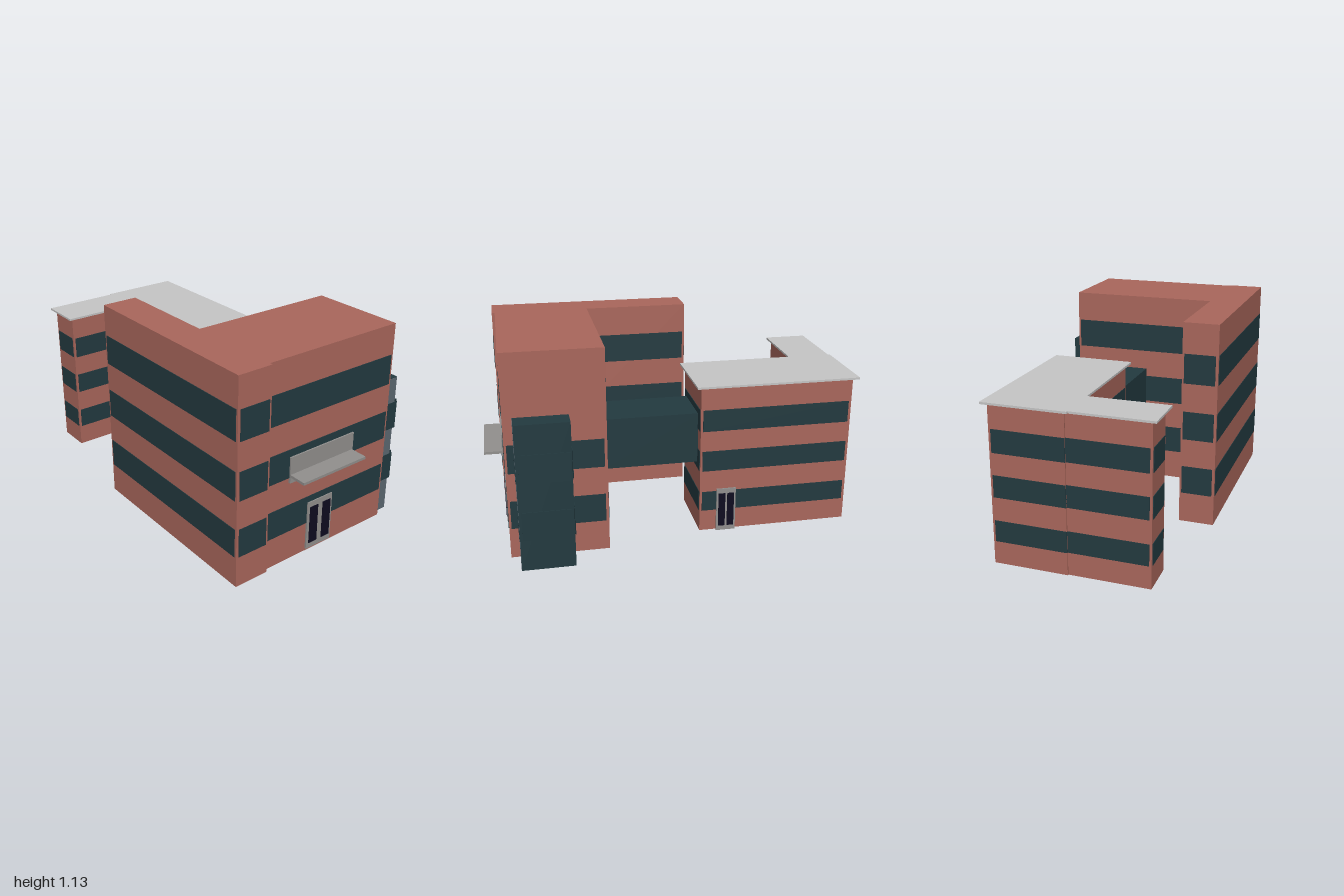
import * as THREE from 'three';

const mat = (name, color) => {
  const m = new THREE.MeshStandardMaterial({ color });
  m.name = name;
  return m;
};

export function createModel() {
  const model = new THREE.Group();
  model.name = 'officeBuilding';
  const brick = mat('brick', 0xaa675c);
  const glass = mat('darkGlass', 0x233a40);
  const paleGlass = mat('paleGlass', 0x5c6871);
  const roofing = mat('roofing', 0xc6c6c6);
  const metal = mat('greyMetal', 0x92908e);
  const doorDark = mat('doorGlass', 0x0e0c20);

  // Box given by its extents on each axis
  const box = (name, m, [x0, x1], [y0, y1], [z0, z1], parent = model) => {
    const mesh = new THREE.Mesh(new THREE.BoxGeometry(x1 - x0, y1 - y0, z1 - z0), m);
    mesh.position.set((x0 + x1) / 2, (y0 + y1) / 2, (z0 + z1) / 2);
    mesh.name = name;
    parent.add(mesh);
    return mesh;
  };
  const T = 0.003; // half thickness of plates
  const group = (name) => {
    const g = new THREE.Group();
    g.name = name;
    model.add(g);
    return g;
  };

  // Window strips on walls facing along x or along z
  const stripsX = (g, x, z, levels) => levels.forEach((y) => box('windowStrip', glass, [x - T, x + T], y, z, g));
  const stripsZ = (g, z, x, levels) => levels.forEach((y) => box('windowStrip', glass, x, y, [z - T, z + T], g));

  // Front building: main block and long side wing
  const front = group('frontBuilding');
  const frontY = [0.022, 1.135];
  box('mainBlock', brick, [-0.38, 0.43], frontY, [0.375, 0.895], front);
  box('sideWing', brick, [-0.572, -0.38], frontY, [-0.2, 0.912], front);
  const floors = [[0.19, 0.345], [0.5, 0.655], [0.81, 0.97]];
  stripsZ(front, 0.895, [-0.378, 0.418], floors);
  stripsZ(front, 0.375, [-0.37, 0.418], floors);
  stripsX(front, 0.43, [0.39, 0.883], floors.slice(0, 2));
  stripsZ(front, 0.912, [-0.558, -0.391], floors);
  stripsZ(front, -0.2, [-0.558, -0.391], floors);
  stripsX(front, -0.572, [-0.187, 0.9], floors);
  stripsX(front, -0.38, [-0.187, 0.372], floors);

  // Stair tower with offset window plates
  const tower = group('stairTower');
  box('towerBody', glass, [0.28, 0.54], [0, 0.8], [0.565, 0.845], tower);
  box('towerFront', paleGlass, [0.281, 0.539], [0.001, 0.797], [0.843, 0.847], tower);
  floors.slice(0, 2).forEach((y) => {
    box('towerPlate', glass, [0.569, 0.573], y, [0.575, 0.83], tower);
    box('towerPlate', glass, [0.443, 0.555], y, [0.846, 0.849], tower);
    box('towerPlate', glass, [0.443, 0.555], y, [0.561, 0.564], tower);
  });

  // Glazed bridge between the buildings
  box('bridge', glass, [0, 0.285], [0.42, 0.7], [-0.14, 0.38]);

  // Rear building: main block and short wing
  const rear = group('rearBuilding');
  const rearY = [0.03, 0.862];
  box('rearBlock', brick, [-0.045, 0.345], rearY, [-0.972, -0.135], rear);
  box('rearWing', brick, [-0.465, -0.045], rearY, [-0.965, -0.775], rear);
  const rearFloors = [[0.15, 0.262], [0.385, 0.5], [0.615, 0.735]];
  stripsX(rear, 0.345, [-0.957, -0.147], rearFloors);
  stripsX(rear, -0.045, [-0.77, -0.147], rearFloors);
  stripsX(rear, -0.465, [-0.953, -0.787], rearFloors);
  stripsZ(rear, -0.135, [-0.033, 0.333], rearFloors);
  stripsZ(rear, -0.972, [-0.045, 0.333], rearFloors);
  stripsZ(rear, -0.965, [-0.453, -0.045], rearFloors);
  stripsZ(rear, -0.775, [-0.453, -0.05], rearFloors);
  // Overhanging flat roof
  box('rearRoof', roofing, [-0.07, 0.37], [0.862, 0.873], [-1, -0.11], rear);
  box('rearWingRoof', roofing, [-0.49, -0.07], [0.862, 0.873], [-0.99, -0.752], rear);

  // Front entrance: framed double door, backing panel and canopy
  const entrance = group('frontEntrance');
  box('doorFrame', metal, [-0.11, 0.056], [0.035, 0.31], [0.893, 0.904], entrance);
  [-0.068, 0.018].forEach((x) =>
    box('doorPanel', doorDark, [x - 0.027, x + 0.027], [0.066, 0.28], [0.902, 0.907], entrance));
  box('canopyPanel', metal, [-0.24, 0.179], [0.473, 0.615], [0.895, 0.906], entrance);
  box('canopy', metal, [-0.24, 0.174], [0.507, 0.521], [0.904, 1], entrance);

  // Side entrance of the rear building
  const side = group('sideEntrance');
  box('doorFrame', metal, [0.342, 0.353], [0.024, 0.275], [-0.336, -0.228], side);
  [-0.307, -0.258].forEach((z) =>
    box('doorPanel', doorDark, [0.351, 0.356], [0.052, 0.248], [z - 0.019, z + 0.019], side));

  return model;
}
